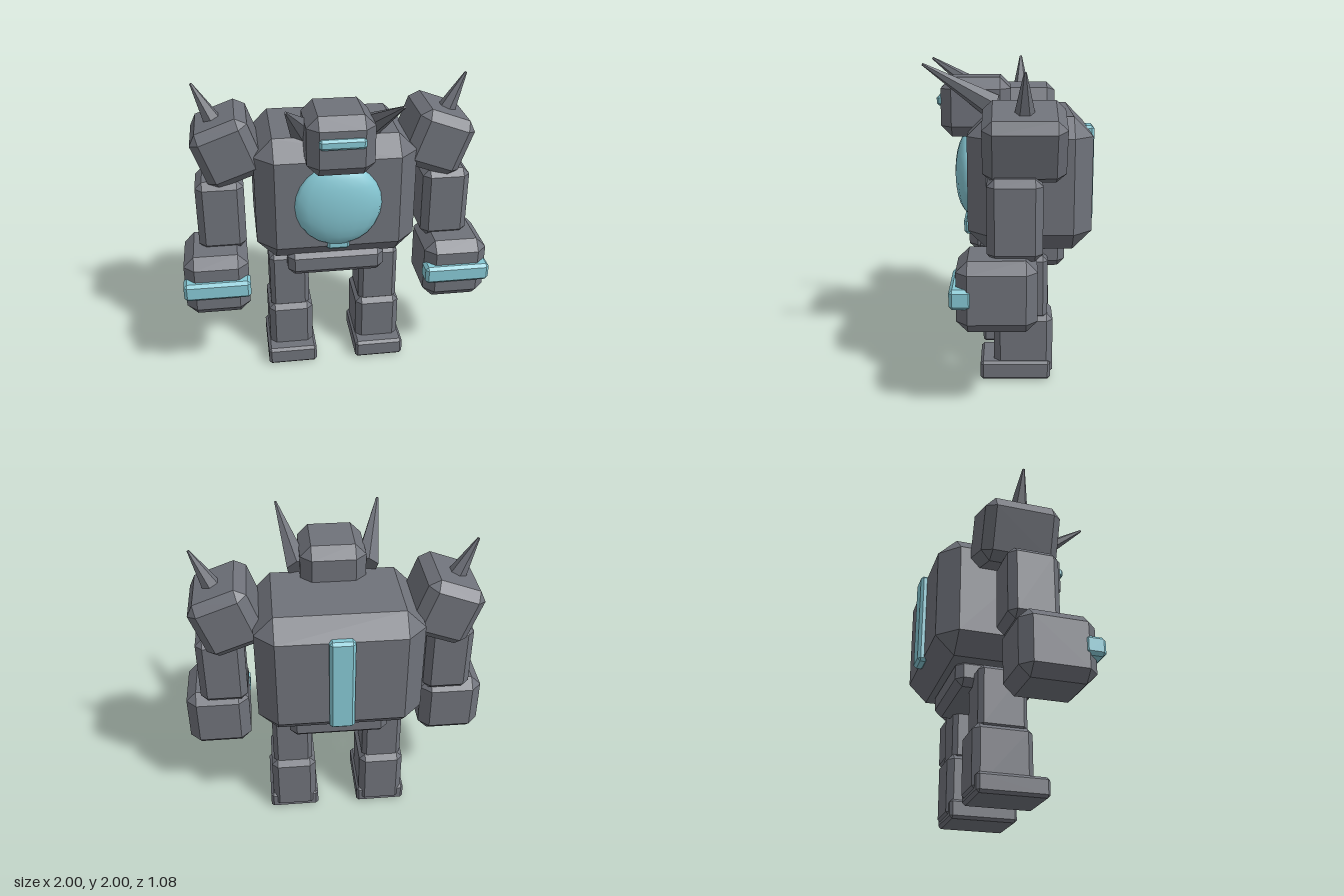
import * as THREE from 'three';
import { ConvexGeometry } from 'three/addons/geometries/ConvexGeometry.js';

const armour = new THREE.MeshStandardMaterial({ name: 'grey armour', color: 0x6f727a });
const glow = new THREE.MeshStandardMaterial({ name: 'pale cyan', color: 0x86c8d4 });

// Box with flat chamfers of size c on all edges
function chamferBox(w, h, d, c) {
  const points = [];
  for (const x of [-1, 1]) for (const y of [-1, 1]) for (const z of [-1, 1]) {
    for (let axis = 0; axis < 3; axis++) {
      const inset = [c, c, c];
      inset[axis] = 0;
      points.push(new THREE.Vector3(
        x * (w / 2 - inset[0]), y * (h / 2 - inset[1]), z * (d / 2 - inset[2])));
    }
  }
  return new ConvexGeometry(points);
}

// Chamfered block given by its [min, max] range on each axis
function block(parent, name, [x0, x1], [y0, y1], [z0, z1], c, material = armour) {
  const mesh = new THREE.Mesh(chamferBox(x1 - x0, y1 - y0, z1 - z0, c), material);
  mesh.position.set((x0 + x1) / 2, (y0 + y1) / 2, (z0 + z1) / 2);
  mesh.name = name;
  parent.add(mesh);
  return mesh;
}

// Faceted spike from a base point to a tip
function spike(parent, name, base, tip, radius) {
  const a = new THREE.Vector3(...base), b = new THREE.Vector3(...tip);
  const geometry = new THREE.CylinderGeometry(0.008, radius, a.distanceTo(b), 6).toNonIndexed();
  geometry.computeVertexNormals();
  const mesh = new THREE.Mesh(geometry, armour);
  mesh.position.copy(a).lerp(b, 0.5);
  mesh.quaternion.setFromUnitVectors(new THREE.Vector3(0, 1, 0), b.sub(a).normalize());
  mesh.name = name;
  parent.add(mesh);
}

export function createModel() {
  const model = new THREE.Group();
  model.name = 'robot';

  // Torso and pelvis
  block(model, 'torso', [-0.515, 0.515], [0.86, 1.69], [-0.5, 0.27], 0.12);
  block(model, 'pelvis', [-0.32, 0.32], [0.715, 0.895], [-0.34, 0.2], 0.045);

  // Glowing chest dome and strips
  const dome = new THREE.Mesh(new THREE.SphereGeometry(0.28, 16, 12), glow);
  dome.scale.z = 0.38;
  dome.position.set(0, 1.275, 0.262);
  dome.name = 'chestDome';
  model.add(dome);
  block(model, 'frontStrip', [-0.075, 0.075], [0.955, 1.59], [0.2, 0.283], 0.018, glow);
  block(model, 'backStrip', [-0.078, 0.078], [0.955, 1.59], [-0.54, -0.47], 0.018, glow);

  // Head and visor
  block(model, 'head', [-0.207, 0.207], [1.53, 1.905], [0, 0.445], 0.07);
  block(model, 'visor', [-0.14, 0.14], [1.725, 1.79], [0.4, 0.47], 0.015, glow);

  // Paired parts
  for (const s of [-1, 1]) {
    const side = s > 0 ? 'left' : 'right';
    const span = (a, b) => (s > 0 ? [a, b] : [-b, -a]);

    spike(model, side + 'Horn', [s * 0.215, 1.735, 0.12], [s * 0.333, 1.997, 0.533], 0.08);

    const arm = new THREE.Group();
    arm.name = side + 'Arm';
    const shoulder = block(arm, side + 'Shoulder', span(0.48, 0.86), [1.39, 1.78], [-0.315, 0.165], 0.058);
    shoulder.rotation.z = -s * 0.35;
    spike(arm, side + 'ShoulderSpike', [s * 0.737, 1.72, -0.075], [s * 0.862, 1.985, -0.075], 0.066);
    block(arm, side + 'UpperArm', span(0.58, 0.887), [0.92, 1.4], [-0.18, 0.14], 0.045);
    block(arm, side + 'Fist', span(0.58, 0.993), [0.525, 0.95], [-0.15, 0.315], 0.067);
    block(arm, side + 'KnuckleBar', span(0.573, 1), [0.68, 0.8], [0.22, 0.352], 0.02, glow);
    model.add(arm);

    const leg = new THREE.Group();
    leg.name = side + 'Leg';
    block(leg, side + 'Thigh', span(0.173, 0.437), [0.4, 0.815], [-0.23, 0.08], 0.03);
    block(leg, side + 'Shin', span(0.153, 0.453), [0.01, 0.435], [-0.265, 0.11], 0.04);
    block(leg, side + 'Foot', span(0.138, 0.473), [0, 0.125], [-0.25, 0.197], 0.018);
    model.add(leg);
  }
  return model;
}
